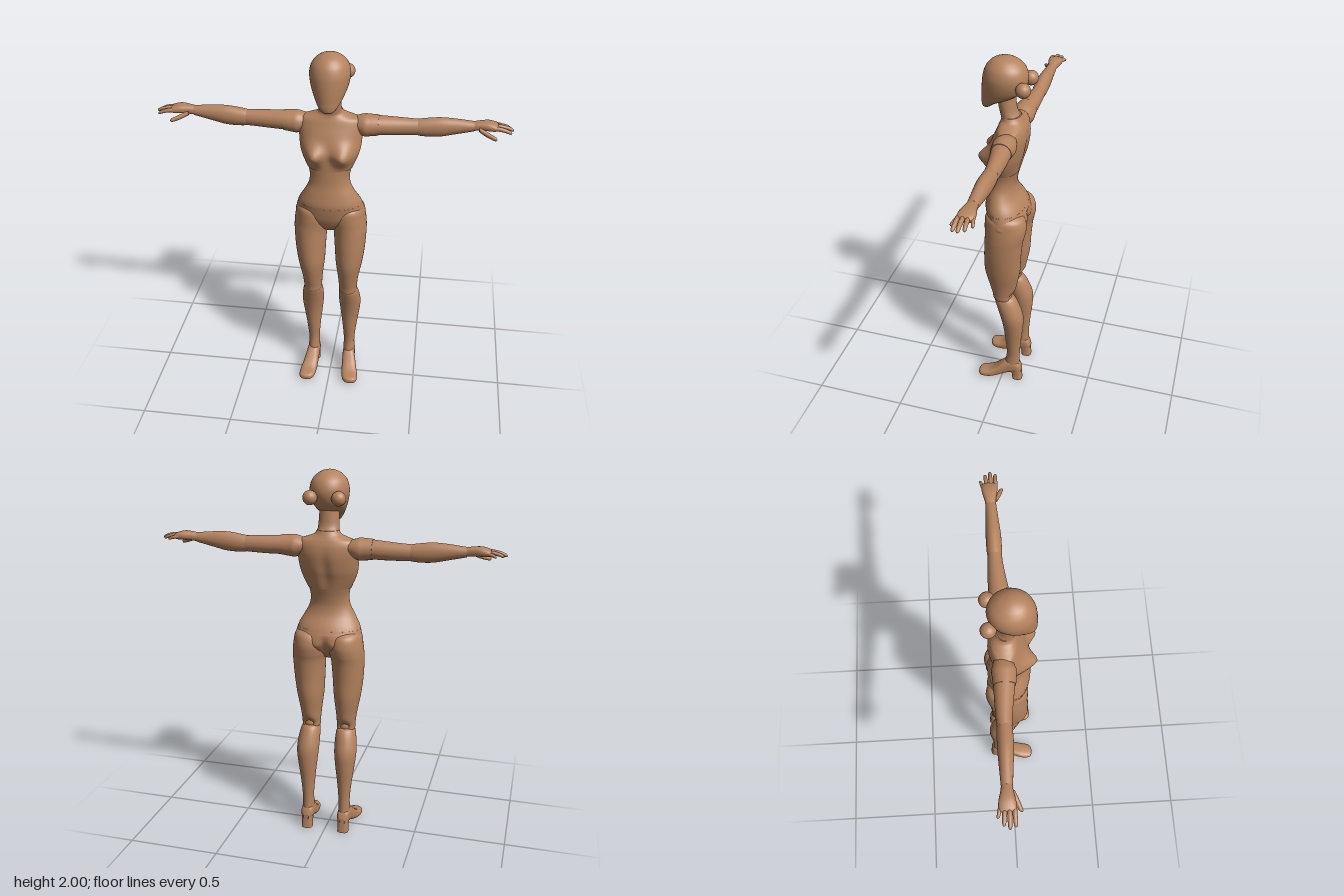
import * as THREE from 'three';

const skin = new THREE.MeshStandardMaterial({ color: 0xb5835f });
skin.name = 'tan wood';

// Maps (distance along the axis, first cross value, second cross value) to a point
const AXES = {
  y: (t, a, b) => [a, t, b],
  x: (t, a, b) => [t, a, b],
  z: (t, a, b) => [a, b, t],
};

const spline = (p0, p1, p2, p3, u) => p1 + 0.5 * u * (p2 - p0
  + u * (2 * p0 - 5 * p1 + 4 * p2 - p3 + u * (3 * (p1 - p2) + p3 - p0)));

// Skin through rows [t, aMin, aMax, bMin, bMax]; closed with flat caps
function loft(rows, { axis = 'y', side = 1, power = 1, warp = null, sides = 40, steps = 6 } = {}) {
  const rings = [];
  const last = rows.length - 1;
  for (let k = 0; k <= last * steps; k++) {
    const i = Math.min(Math.floor(k / steps), last - 1), u = k / steps - i;
    const row = (j) => rows[Math.min(Math.max(j, 0), last)];
    const [t, a0, a1, b0, b1] = rows[0].map((_, c) =>
      spline(row(i - 1)[c], row(i)[c], row(i + 1)[c], row(i + 2)[c], u));
    const ring = [];
    for (let s = 0; s < sides; s++) {
      const w = (s / sides) * Math.PI * 2, c = Math.cos(w), d = Math.sin(w);
      const a = (a0 + a1) / 2 + (a1 - a0) / 2 * Math.sign(c) * Math.abs(c) ** power;
      const b = (b0 + b1) / 2 + (b1 - b0) / 2 * Math.sign(d) * Math.abs(d) ** power;
      const p = new THREE.Vector3(...AXES[axis](t, a, b));
      if (warp) warp(p);
      p.x *= side;
      ring.push(p);
    }
    rings.push(ring);
  }
  const points = rings.flat(), index = [];
  for (let r = 0; r < rings.length - 1; r++) {
    for (let s = 0; s < sides; s++) {
      const a = r * sides + s, b = r * sides + (s + 1) % sides;
      index.push(a, a + sides, b, b, a + sides, b + sides);
    }
  }
  // Caps use their own vertices so the rims stay crisp
  [rings[0], rings[rings.length - 1]].forEach((ring, end) => {
    const base = points.length;
    const mid = ring.reduce((m, p) => m.add(p), new THREE.Vector3()).divideScalar(sides);
    points.push(...ring, mid);
    for (let s = 0; s < sides; s++) {
      const a = base + s, b = base + (s + 1) % sides;
      index.push(base + sides, ...(end ? [b, a] : [a, b]));
    }
  });
  // Turn the faces outward for every axis and mirrored side
  let volume = 0;
  const v = new THREE.Vector3();
  for (let i = 0; i < index.length; i += 3) {
    volume += v.crossVectors(points[index[i]], points[index[i + 1]]).dot(points[index[i + 2]]);
  }
  if (volume < 0) index.reverse();
  const geo = new THREE.BufferGeometry().setFromPoints(points);
  geo.setIndex(index);
  geo.computeVertexNormals();
  return geo;
}

const bump = (a, b) => Math.exp(-a * a - b * b);
const even = (rows) => rows.map(([y, w, z0, z1]) => [y, -w, w, z0, z1]);

export function createModel() {
  const model = new THREE.Group();
  model.name = 'mannequin';
  const add = (name, geo, parent = model) => {
    const mesh = new THREE.Mesh(geo, skin);
    mesh.name = name;
    parent.add(mesh);
    return mesh;
  };

  // Head and neck: [y, half width, back, front]
  add('head', loft(even([
    [1.73, 0.02, 0.09, 0.118], [1.74, 0.036, 0.075, 0.125], [1.76, 0.051, 0.045, 0.128],
    [1.78, 0.064, 0, 0.128], [1.8, 0.075, -0.042, 0.128], [1.83, 0.088, -0.08, 0.127],
    [1.87, 0.098, -0.1, 0.124], [1.91, 0.1, -0.103, 0.118], [1.95, 0.088, -0.088, 0.103],
    [1.98, 0.06, -0.055, 0.076], [1.995, 0.03, -0.02, 0.042], [2, 0.004, 0.006, 0.014],
  ])));
  add('neck', loft(even([
    [1.64, 0.085, -0.09, 0.025], [1.68, 0.061, -0.075, 0.028], [1.72, 0.055, -0.052, 0.036],
    [1.76, 0.053, -0.045, 0.044], [1.81, 0.05, -0.04, 0.045],
  ])));

  // Chest, with the bust raised on the front and a shallow spine groove
  add('chest', loft(even([
    [1.7, 0.058, -0.07, 0.028], [1.68, 0.072, -0.08, 0.028], [1.665, 0.11, -0.088, 0.032],
    [1.65, 0.15, -0.096, 0.038], [1.62, 0.164, -0.106, 0.05], [1.57, 0.162, -0.11, 0.07],
    [1.5, 0.155, -0.1, 0.088], [1.45, 0.14, -0.085, 0.086], [1.395, 0.116, -0.07, 0.087],
  ]), {
    sides: 64,
    warp: (p) => {
      if (p.z > 0) p.z += 0.054 * bump((Math.abs(p.x) - 0.076) / 0.047, (p.y - 1.482) / 0.052);
      else p.z += 0.012 * bump(p.x / 0.03, (p.y - 1.5) / 0.1);
    },
  }));
  add('abdomen', loft(even([
    [1.4, 0.113, -0.068, 0.085], [1.35, 0.104, -0.055, 0.086], [1.3, 0.11, -0.05, 0.09],
    [1.25, 0.135, -0.062, 0.1], [1.2, 0.163, -0.095, 0.108], [1.16, 0.176, -0.115, 0.104],
  ])));
  add('pelvis', loft(even([
    [1.18, 0.171, -0.106, 0.107], [1.14, 0.181, -0.12, 0.1], [1.1, 0.186, -0.122, 0.09],
    [1.06, 0.14, -0.09, 0.072], [1.03, 0.08, -0.055, 0.05], [1.01, 0.035, -0.03, 0.03],
  ]), {
    sides: 64,
    warp: (p) => { if (p.z < 0) p.z += 0.03 * bump(p.x / 0.022, (p.y - 1.08) / 0.06); },
  }));

  for (const side of [1, -1]) {
    const label = side > 0 ? 'left' : 'right';
    const bun = add(label + 'HairBun', new THREE.SphereGeometry(0.037, 28, 20));
    bun.position.set(side * 0.074, 1.87, -0.098);

    // Leg: [y, inner, outer, back, front]
    const leg = new THREE.Group();
    leg.name = label + 'Leg';
    model.add(leg);
    add('thigh', loft([
      [1.175, 0.05, 0.15, -0.07, 0.06], [1.15, 0.015, 0.178, -0.115, 0.088],
      [1.1, 0.004, 0.188, -0.13, 0.093], [1.05, 0.008, 0.194, -0.125, 0.091],
      [1, 0.018, 0.195, -0.114, 0.092], [0.9, 0.025, 0.189, -0.105, 0.096],
      [0.8, 0.031, 0.176, -0.1, 0.094], [0.7, 0.043, 0.157, -0.082, 0.072],
      [0.64, 0.048, 0.15, -0.072, 0.056], [0.605, 0.05, 0.148, -0.066, 0.05],
      [0.595, 0.062, 0.138, -0.05, 0.038],
    ], {
      side,
      warp: (p) => { if (p.z < -0.02) p.z += 0.032 * bump((p.x - 0.1) / 0.03, (p.y - 0.625) / 0.028); },
    }), leg);
    const knee = add('kneeBall', new THREE.SphereGeometry(0.04, 24, 18), leg);
    knee.position.set(side * 0.1, 0.62, -0.014);
    add('shin', loft([
      [0.615, 0.065, 0.135, -0.05, 0.025], [0.6, 0.05, 0.15, -0.074, 0.043],
      [0.55, 0.045, 0.162, -0.1, 0.029], [0.48, 0.046, 0.168, -0.122, 0.008],
      [0.4, 0.054, 0.16, -0.122, -0.009], [0.3, 0.065, 0.146, -0.112, -0.02],
      [0.2, 0.073, 0.136, -0.105, -0.029], [0.13, 0.072, 0.137, -0.105, -0.02],
      [0.07, 0.074, 0.138, -0.108, -0.01],
    ], { side }), leg);

    // Shoe: [z, inner, outer, bottom, top]
    add('shoe', loft([
      [-0.118, 0.09, 0.12, 0.06, 0.085], [-0.1, 0.073, 0.137, 0.05, 0.125],
      [-0.06, 0.07, 0.141, 0.045, 0.138], [-0.02, 0.071, 0.146, 0.03, 0.128],
      [0.03, 0.073, 0.159, 0.01, 0.082], [0.07, 0.077, 0.169, 0.004, 0.056],
      [0.11, 0.085, 0.17, 0.003, 0.047], [0.128, 0.1, 0.16, 0.008, 0.042],
      [0.135, 0.12, 0.142, 0.016, 0.032],
    ], { axis: 'z', side, power: 0.75 }), leg);
    add('heel', loft([
      [0, 0.074, 0.136, -0.122, -0.064], [0.035, 0.075, 0.135, -0.118, -0.06],
      [0.07, 0.072, 0.138, -0.115, -0.045],
    ], { side, power: 0.7 }), leg);

    // Arm: [x, bottom, top, back, front]
    const arm = new THREE.Group();
    arm.name = label + 'Arm';
    model.add(arm);
    const limb = (name, rows, power = 1) => add(name, loft(rows, { axis: 'x', side, power, sides: 32 }), arm);
    limb('shoulder', [
      [0.12, 1.58, 1.655, -0.082, 0.005], [0.165, 1.556, 1.669, -0.094, 0.024],
      [0.2, 1.557, 1.669, -0.092, 0.022], [0.24, 1.562, 1.667, -0.09, 0.017],
    ]);
    limb('upperArm', [
      [0.235, 1.565, 1.664, -0.088, 0.014], [0.3, 1.565, 1.66, -0.088, 0.004],
      [0.37, 1.567, 1.656, -0.086, -0.006], [0.435, 1.57, 1.653, -0.083, -0.012],
    ]);
    limb('forearm', [
      [0.42, 1.573, 1.65, -0.08, -0.014], [0.46, 1.566, 1.658, -0.085, -0.01],
      [0.54, 1.568, 1.668, -0.086, -0.01], [0.62, 1.585, 1.665, -0.083, -0.017],
      [0.71, 1.606, 1.656, -0.079, -0.025],
    ]);
    limb('palm', [
      [0.7, 1.609, 1.653, -0.076, -0.028], [0.74, 1.613, 1.66, -0.083, -0.024],
      [0.78, 1.615, 1.662, -0.093, -0.016], [0.815, 1.616, 1.654, -0.094, -0.014],
      [0.83, 1.622, 1.645, -0.085, -0.024],
    ], 0.85);

    // Fingers: root and tip [x, y, z], thickness, arch
    const fingers = {
      indexFinger: [[0.8, 1.634, -0.025], [0.895, 1.616, -0.022], 0.0105, 0.008],
      middleFinger: [[0.8, 1.637, -0.046], [0.905, 1.622, -0.048], 0.0105, 0.008],
      ringFinger: [[0.8, 1.635, -0.066], [0.89, 1.622, -0.074], 0.01, 0.008],
      littleFinger: [[0.79, 1.632, -0.082], [0.855, 1.622, -0.099], 0.009, 0.006],
      thumb: [[0.735, 1.625, -0.03], [0.825, 1.592, 0.008], 0.0125, -0.003],
    };
    for (const [name, [root, tip, r, arch]] of Object.entries(fingers)) {
      limb(name, [[0, 1], [0.35, 1.05], [0.7, 0.95], [0.9, 0.8], [0.97, 0.5], [1, 0.15]].map(([u, k]) => {
        const [x, y, z] = root.map((n, i) => n + (tip[i] - n) * u);
        const h = y + arch * Math.sin(u * Math.PI);
        return [x, h - r * k, h + r * k, z - r * k, z + r * k];
      }));
    }
  }
  return model;
}
